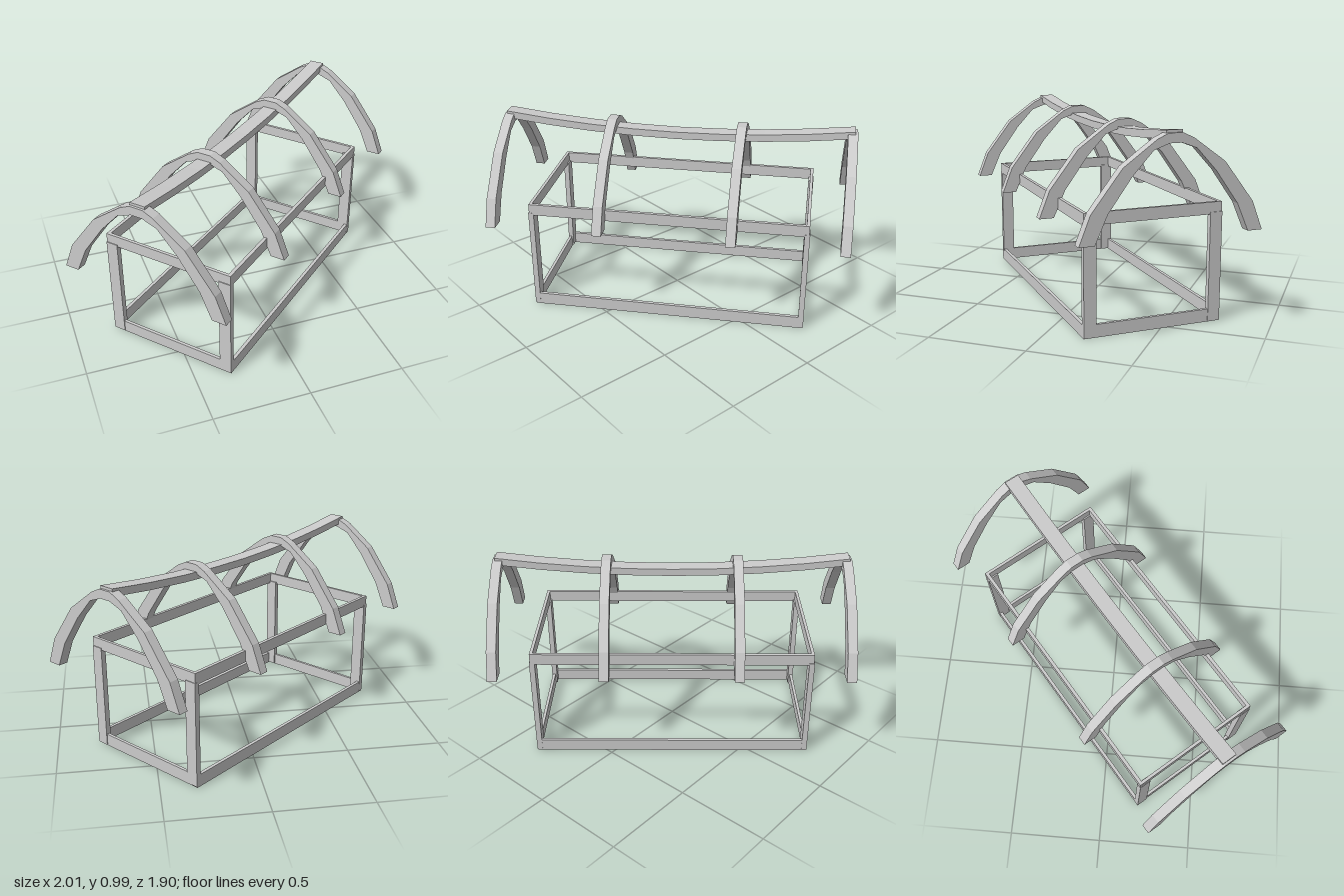
import * as THREE from 'three';

const material = new THREE.MeshStandardMaterial({ color: 0xcccccc, flatShading: true });

function box(parent, name, size, pos) {
  const mesh = new THREE.Mesh(new THREE.BoxGeometry(...size), material);
  mesh.name = name;
  mesh.position.set(...pos);
  parent.add(mesh);
}

// Flat outline extruded symmetrically about its own plane
function slab(name, points, depth) {
  const shape = new THREE.Shape(points.map(([x, y]) => new THREE.Vector2(x, y)));
  const geometry = new THREE.ExtrudeGeometry(shape, { depth, bevelEnabled: false });
  geometry.translate(0, 0, -depth / 2);
  const mesh = new THREE.Mesh(geometry, material);
  mesh.name = name;
  return mesh;
}

const mirror = (half) => half.map(([x, y]) => [-x, y]).reverse();

export function createModel() {
  const model = new THREE.Group();
  model.name = 'archedFrame';

  // Everything is built along x, then turned diagonally
  const body = new THREE.Group();
  body.name = 'body';
  body.rotation.y = THREE.MathUtils.degToRad(40.5);
  model.add(body);

  // Open box frame: thin rails and four flat posts
  const frame = new THREE.Group();
  frame.name = 'boxFrame';
  body.add(frame);
  const halfL = 0.725, halfW = 0.357;
  for (const s of [-1, 1]) {
    for (const [level, y, h] of [['bottom', 0.0325, 0.065], ['top', 0.575, 0.06]]) {
      box(frame, level + 'LongRail', [halfL * 2, h, 0.018], [0, y, s * (halfW - 0.009)]);
      box(frame, level + 'EndRail', [0.016, h, halfW * 2 - 0.036], [s * (halfL - 0.008), y, 0]);
    }
    for (const t of [-1, 1]) {
      box(frame, 'post', [0.028, 0.55, 0.064], [s * 0.715, 0.281, t * (halfW - 0.031)]);
    }
  }

  // Four pointed arches across the frame
  const outer = [[0.455, 0.505], [0.4, 0.645], [0.25, 0.84], [0.09, 0.955], [0.035, 0.98]];
  const inner = [[0.38, 0.505], [0.32, 0.64], [0.205, 0.8], [0.105, 0.908], [0.03, 0.935]];
  const outline = [...outer, ...mirror(outer), ...mirror(inner).reverse(), ...inner.slice().reverse()];
  for (const x of [-0.905, -0.342, 0.342, 0.905]) {
    const arch = slab('arch', outline, 0.05);
    arch.rotation.y = Math.PI / 2;
    arch.position.x = x;
    body.add(arch);
  }

  // Sagging ridge beam joining the arches
  const top = [], bottom = [];
  const n = 8, reach = 0.918;
  for (let i = 0; i <= n; i++) {
    const t = (i / n) * 2 - 1;
    const y = 0.932 + 0.061 * t * t;
    top.push([t * reach, y]);
    bottom.push([t * reach, y - 0.038]);
  }
  body.add(slab('ridgeBeam', [...bottom, ...top.reverse()], 0.08));

  return model;
}
